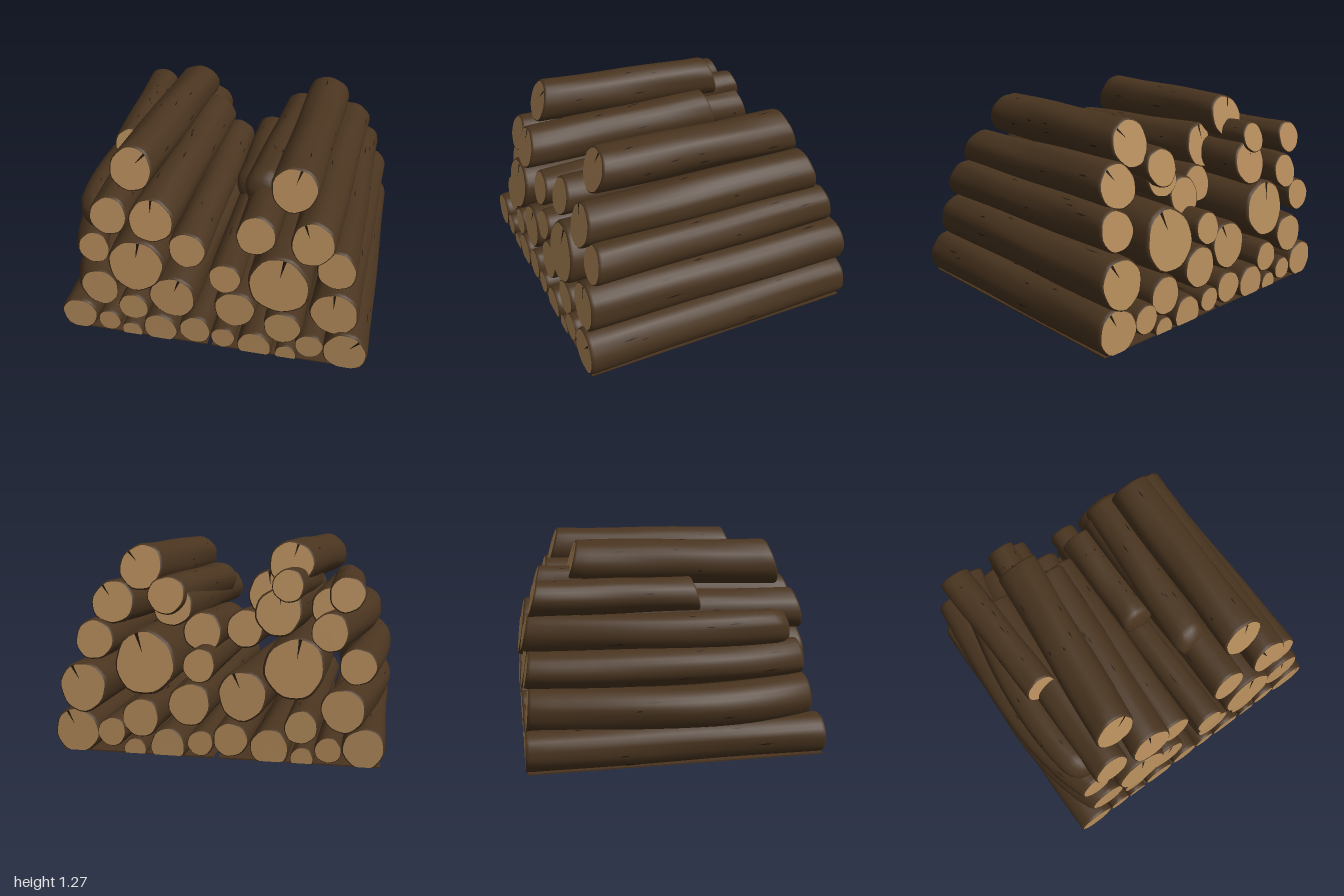
import * as THREE from 'three';

const bark = new THREE.MeshStandardMaterial({ color: 0x49341f });
const cutWood = new THREE.MeshStandardMaterial({ color: 0xb58c5b });
const crackDark = new THREE.MeshStandardMaterial({ color: 0x22170e, side: THREE.DoubleSide });
bark.name = 'bark';
cutWood.name = 'cutWood';
crackDark.name = 'crackDark';

let seed = 7;
const rnd = () => (seed = (seed * 16807) % 2147483647) / 2147483647;

function meshFrom(points, index, material, name) {
  const g = new THREE.BufferGeometry().setFromPoints(points);
  g.setIndex(index);
  g.computeVertexNormals();
  const m = new THREE.Mesh(g, material);
  m.name = name;
  return m;
}

// One log from front (x, y, zFront) to a back end moved by dx, dy; bulge bends its middle sideways.
// A buried log has a rounded bark front instead of a cut one.
function makeLog(x, y, r, { zFront = 0.87, zBack = -0.87, dx = 0, dy = 0, bulge = 0, buried = false } = {}) {
  const log = new THREE.Group();
  log.name = 'log';
  const s = rnd() * 6, slope = 0.28 * Math.min(1, y);

  // Point on the bark at length t, angle a and radius factor k
  const surf = (t, a, k = 1, dz = 0) => {
    const wobble = 1 + 0.025 * Math.sin(3 * a + s + t) + 0.015 * Math.sin(7 * a + 3 * t + 2 * s)
      + 0.02 * Math.sin(9 * t + 2 * a + 3 * s);
    const rad = r * wobble * k, up = Math.sin(a) * rad;
    return new THREE.Vector3(
      x + dx * t + bulge * Math.sin(Math.PI * t ** 0.75) + Math.cos(a) * rad,
      Math.max(0.004, y + dy * t + up),
      THREE.MathUtils.lerp(zFront, zBack, t) + dz + up * slope * (2 * t - 1));
  };

  // Bark tube with bevelled rims
  const N = 26;
  const rows = buried ? [[0, 0], [0.004, 0.4], [0.015, 0.75], [0.04, 0.93]] : [[0, 0.92], [0.003, 0.97], [0.012, 1]];
  for (let i = 1; i < 14; i++) rows.push([i / 14, 1]);
  rows.push([0.988, 1], [0.997, 0.97], [1, 0.92]);
  const angle = i => (i / N) * Math.PI * 2;
  const pts = [], idx = [];
  rows.forEach(([t, k], j) => {
    for (let i = 0; i < N; i++) {
      pts.push(surf(t, angle(i), k));
      if (j + 1 < rows.length) {
        const p = j * N + i, q = j * N + (i + 1) % N;
        idx.push(p + N, q + N, q, p + N, q, p);
      }
    }
  });
  log.add(meshFrom(pts, idx, bark, 'barkTube'));

  // Cut faces, with a radial crack on the thicker logs
  for (const t of buried ? [1] : [0, 1]) {
    const face = [surf(t, 0, 0)], fi = [];
    for (let i = 0; i < N; i++) {
      face.push(surf(t, angle(i), 0.92));
      const p = i + 1, q = (i + 1) % N + 1;
      if (t === 0) fi.push(0, p, q);
      else fi.push(0, q, p);
    }
    log.add(meshFrom(face, fi, cutWood, t ? 'backCut' : 'frontCut'));
    if (r > 0.132) {
      const a = 0.7 + rnd() * 1.3, dz = t ? -0.004 : 0.004;
      log.add(meshFrom([surf(t, a - 0.06, 0.93, dz), surf(t, a + 0.06, 0.93, dz), surf(t, a + 0.08, 0.3, dz)],
        [0, 1, 2], crackDark, 'endCrack'));
    }
  }

  // Thin splits along the bark
  const sp = [], si = [];
  for (let i = 0; i < 14; i++) {
    const t = 0.08 + rnd() * 0.8, a = rnd() * Math.PI * 2, l = 0.012 + rnd() * 0.025, o = sp.length;
    sp.push(surf(t, a, 1.012), surf(t + l, a + 0.05, 1.012), surf(t + 2 * l, a + 0.03, 1.012), surf(t + l, a - 0.02, 1.012));
    si.push(o, o + 1, o + 2, o, o + 2, o + 3);
  }
  log.add(meshFrom(sp, si, crackDark, 'barkSplits'));
  return log;
}

export function createModel() {
  const model = new THREE.Group();
  model.name = 'firewoodStack';
  const addRow = (name, logs) => {
    const row = new THREE.Group();
    row.name = name;
    row.add(...logs);
    model.add(row);
  };

  // Ground row: x, y, radius
  const ground = [
    [-0.86, 0.11, 0.122], [-0.66, 0.09, 0.078], [-0.51, 0.03, 0.07], [-0.32, 0.085, 0.115], [-0.09, 0.12, 0.105],
    [0.09, 0.09, 0.079], [0.29, 0.06, 0.11], [0.49, 0.03, 0.07], [0.635, 0.13, 0.09], [0.855, 0.125, 0.141],
  ];
  addRow('groundLogs', ground.map(([x, y, r]) => makeLog(x, y, r, { zFront: 0.9, zBack: -0.89 })));

  // Straight logs above the ground: x, y, radius
  const middle = [
    [-0.5, 0.21, 0.1], [-0.46, 0.555, 0.18],
    [0.1, 0.55, 0.1], [0.16, 0.315, 0.13], [0.43, 0.555, 0.19], [0.46, 0.22, 0.118],
  ];
  addRow('middleLogs', middle.map(([x, y, r]) => makeLog(x, y, r)));

  // Bent logs on the outer side: x, y, radius, sideways shift at the back
  const bent = [[-0.72, 0.32, 0.13, -0.02], [-0.76, 0.58, 0.107, -0.06], [-0.75, 0.77, 0.11, 0.09]];
  addRow('bentLogs', bent.map(([x, y, r, dx], i) =>
    makeLog(x, y, r, { zFront: 0.85 - 0.07 * i, bulge: i ? -0.1 : -0.135, dx, buried: i === 2 })));

  // Leaning upper logs: x, y, radius, front z, back z, sideways and upward shift at the back
  const leaning = (row, buried = false) => row.map(([x, y, r, zFront, zBack, dx, dy]) =>
    makeLog(x, y, r, { zFront, zBack, dx, dy, buried }));
  addRow('upperLogsRightHand', leaning([
    [-0.52, 1.12, 0.137, 0.66, -0.57, 0.12, 0.01],
    [-0.64, 0.85, 0.122, 0.79, -0.55, 0, 0.02],
    [-0.36, 0.875, 0.14, 0.82, -0.49, 0.1, 0.065],
    [-0.15, 0.67, 0.117, 0.8, -0.58, 0.03, 0.06],
    [-0.71, 0.97, 0.103, 0.14, -0.82, -0.04, 0.01],
    [-0.24, 0.33, 0.15, 0.86, -0.83, 0.09, 0.04],
  ]));
  addRow('upperLogsLeftHand', leaning([
    [0.47, 1.1, 0.14, 0.65, -0.63, 0.05, 0],
    [0.275, 0.85, 0.122, 0.8, -0.68, 0.03, 0.02],
    [0.61, 0.84, 0.135, 0.8, -0.7, 0.07, 0.05],
    [0.76, 0.66, 0.122, 0.79, -0.79, 0.01, 0.01],
    [0.77, 0.385, 0.15, 0.86, -0.88, 0.045, 0.01],
  ]));

  // Short logs tucked in at the back
  addRow('buriedLogs', leaning([
    [-0.43, 0.87, 0.14, 0.1, -0.81, 0.07, 0],
    [-0.46, 1.0, 0.095, 0, -0.79, 0.05, 0.02],
    [0.24, 0.94, 0.117, 0.48, -0.71, 0.1, 0],
    [0.11, 0.69, 0.12, 0.08, -0.69, 0.01, 0.03],
  ], true));

  // Flat undersides of the two piles
  for (const side of [-1, 1]) {
    const base = new THREE.Mesh(new THREE.BoxGeometry(0.94, 0.008, 1.77), bark);
    base.name = 'flatUnderside';
    base.position.set(side * 0.485, 0.004, 0.005);
    model.add(base);
  }
  return model;
}
